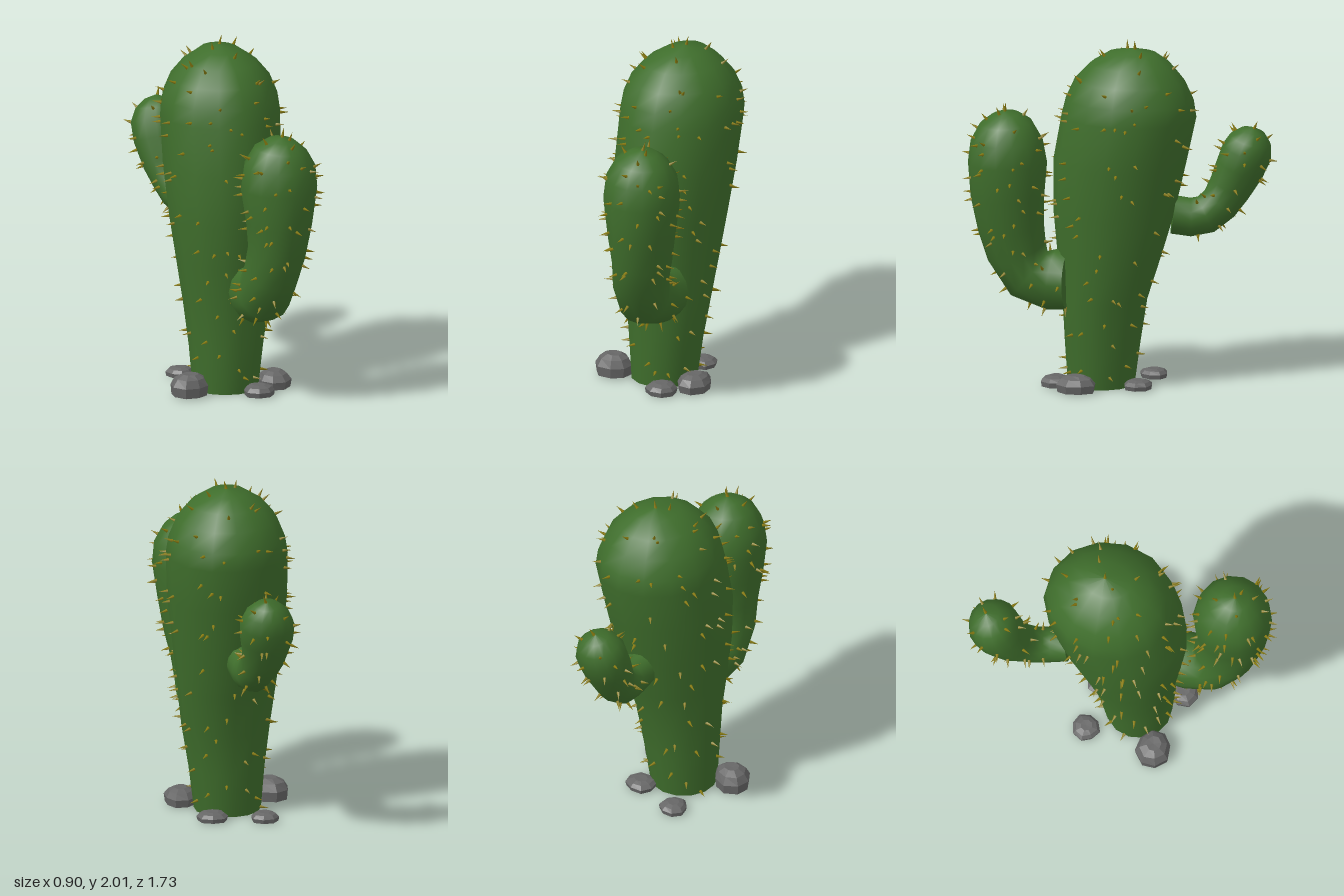
import * as THREE from 'three';
import { mergeGeometries } from 'three/addons/utils/BufferGeometryUtils.js';

const SIDES = 14;
const green = new THREE.MeshStandardMaterial({ color: 0x3f6e2c });
const olive = new THREE.MeshStandardMaterial({ color: 0x8a7d12 });
const stone = new THREE.MeshStandardMaterial({ color: 0x666666, flatShading: true, side: THREE.DoubleSide });

let seed = 7;
const rand = () => (seed = (seed * 16807) % 2147483647) / 2147483647;

// Rings of points along a path; each section is [x, y, z, side radius, other radius]
function makeRings(sections, upright) {
  const centres = sections.map(s => new THREE.Vector3(s[0], s[1], s[2]));
  const last = centres.length - 1;
  return sections.map((s, i) => {
    const t = upright ? new THREE.Vector3(0, 1, 0)
      : centres[Math.min(i + 1, last)].clone().sub(centres[Math.max(i - 1, 0)]).normalize();
    const v = t.clone().cross(new THREE.Vector3(1, 0, 0)).normalize();
    const u = v.clone().cross(t);
    return Array.from({ length: SIDES + 1 }, (_, j) => {
      const a = (j % SIDES) / SIDES * Math.PI * 2;
      return centres[i].clone().addScaledVector(u, Math.cos(a) * s[3]).addScaledVector(v, Math.sin(a) * s[4]);
    });
  });
}

// Smooth skin over the rings, with a flat cap at the root
function makeSkin(rings, root) {
  const centre = new THREE.Vector3(root[0], root[1], root[2]);
  const pos = [], index = [];
  for (const ring of rings) for (let j = 0; j < SIDES; j++) pos.push(...ring[j].toArray());
  for (let i = 0; i < rings.length - 1; i++) {
    for (let j = 0; j < SIDES; j++) {
      const k = (j + 1) % SIDES;
      const a = i * SIDES + j, b = i * SIDES + k;
      index.push(a, b, b + SIDES, a, b + SIDES, a + SIDES);
    }
  }
  const base = rings.length * SIDES;
  for (let j = 0; j < SIDES; j++) {
    pos.push(...rings[0][j].toArray());
    index.push(base + SIDES, base + (j + 1) % SIDES, base + j);
  }
  pos.push(...centre.toArray());
  const g = new THREE.BufferGeometry();
  g.setAttribute('position', new THREE.Float32BufferAttribute(pos, 3));
  g.setIndex(index);
  g.computeVertexNormals();
  return g;
}

// Small cones scattered evenly by area, each standing on the surface
function makeSpines(rings, density, first) {
  const up = new THREE.Vector3(0, 1, 0);
  const cones = [];
  let due = 0;
  for (let i = first; i < rings.length - 1; i++) {
    for (let j = 0; j < SIDES; j++) {
      const p00 = rings[i][j], p01 = rings[i][j + 1], p10 = rings[i + 1][j], p11 = rings[i + 1][j + 1];
      const n = p11.clone().sub(p00).cross(p10.clone().sub(p01));
      due += n.length() / 2 * density * (0.6 + 0.8 * rand());
      while (due >= 1) {
        due -= 1;
        const f = rand(), g = rand();
        const p = p00.clone().lerp(p01, g).lerp(p10.clone().lerp(p11, g), f);
        const cone = new THREE.ConeGeometry(0.011, 0.06, 5).translate(0, 0.022, 0);
        cone.applyQuaternion(new THREE.Quaternion().setFromUnitVectors(up, n.clone().normalize()));
        cones.push(cone.translate(p.x, p.y, p.z));
      }
    }
  }
  return mergeGeometries(cones);
}

function makeLimb(name, sections, { upright = false, density, firstSpineRing = 0 }) {
  const limb = new THREE.Group();
  limb.name = name;
  const rings = makeRings(sections, upright);
  const skin = new THREE.Mesh(makeSkin(rings, sections[0]), green);
  skin.name = name + 'Skin';
  const spines = new THREE.Mesh(makeSpines(rings, density, firstSpineRing), olive);
  spines.name = name + 'Spines';
  limb.add(skin, spines);
  return limb;
}

// Faceted stone, open underneath
function makeRock([x, z, rx, rz, h], i) {
  const profile = [[0.6, 0], [0.94, 0.06], [1, 0.5], [0.78, 0.83], [0.42, 1], [0, 0.98]];
  const g = new THREE.LatheGeometry(profile.map(p => new THREE.Vector2(p[0], p[1])), 8);
  g.rotateY(i * 0.9 + 0.4);
  const p = g.attributes.position;
  // gentle unevenness that depends only on position
  for (let k = 0; k < p.count; k++) {
    const w = 1 + 0.06 * Math.sin(p.getX(k) * 5 + p.getZ(k) * 3 + i * 2);
    p.setXYZ(k, p.getX(k) * w, p.getY(k), p.getZ(k) * w);
  }
  g.scale(rx, h, rz);
  const rock = new THREE.Mesh(g, stone);
  rock.name = 'rock' + (i + 1);
  rock.position.set(x, 0, z);
  return rock;
}

export function createModel() {
  const model = new THREE.Group();
  model.name = 'cactus';

  // Trunk: swells upward and leans back
  model.add(makeLimb('trunk', [
    [-0.03, 0, 0.11, 0.19, 0.19],
    [-0.025, 0.25, 0.1, 0.215, 0.215],
    [-0.02, 0.5, 0.085, 0.25, 0.24],
    [-0.025, 0.75, 0.06, 0.28, 0.295],
    [-0.03, 1, 0.035, 0.31, 0.345],
    [-0.03, 1.3, 0, 0.34, 0.38],
    [-0.03, 1.57, -0.055, 0.345, 0.385],
    [-0.03, 1.67, -0.06, 0.33, 0.365],
    [-0.03, 1.78, -0.06, 0.285, 0.315],
    [-0.03, 1.87, -0.065, 0.21, 0.235],
    [-0.03, 1.935, -0.075, 0.11, 0.14],
    [-0.03, 1.96, -0.09, 0, 0],
  ], { upright: true, density: 36 }));

  // Large arm in front, bending up
  model.add(makeLimb('frontArm', [
    [0.1, 0.615, 0.265, 0.155, 0.165],
    [0.105, 0.615, 0.36, 0.16, 0.175],
    [0.12, 0.645, 0.49, 0.155, 0.165],
    [0.145, 0.775, 0.555, 0.155, 0.175],
    [0.175, 0.92, 0.58, 0.165, 0.19],
    [0.185, 1.1, 0.598, 0.19, 0.21],
    [0.185, 1.3, 0.598, 0.22, 0.225],
    [0.188, 1.43, 0.602, 0.205, 0.205],
    [0.192, 1.53, 0.605, 0.15, 0.15],
    [0.2, 1.58, 0.608, 0.08, 0.08],
    [0.2, 1.6, 0.61, 0, 0],
  ], { density: 65 }));

  // Small arm behind
  model.add(makeLimb('rearArm', [
    [-0.13, 0.985, -0.285, 0.1, 0.11],
    [-0.16, 0.97, -0.38, 0.1, 0.11],
    [-0.19, 0.985, -0.46, 0.105, 0.112],
    [-0.22, 1.045, -0.53, 0.11, 0.113],
    [-0.25, 1.13, -0.58, 0.125, 0.122],
    [-0.265, 1.25, -0.638, 0.15, 0.138],
    [-0.27, 1.35, -0.68, 0.155, 0.143],
    [-0.27, 1.42, -0.7, 0.125, 0.12],
    [-0.27, 1.47, -0.715, 0.07, 0.07],
    [-0.27, 1.492, -0.72, 0, 0],
  ], { density: 75, firstSpineRing: 1 }));

  // Stones around the foot: [x, z, half width, half depth, height]
  const rocks = [
    [-0.265, 0.27, 0.11, 0.1, 0.13],
    [0.235, 0.175, 0.095, 0.115, 0.1],
    [0.12, 0.33, 0.09, 0.09, 0.065],
    [-0.245, -0.135, 0.08, 0.08, 0.055],
    [0.05, -0.135, 0.09, 0.085, 0.055],
  ];
  rocks.forEach((r, i) => model.add(makeRock(r, i)));
  return model;
}
